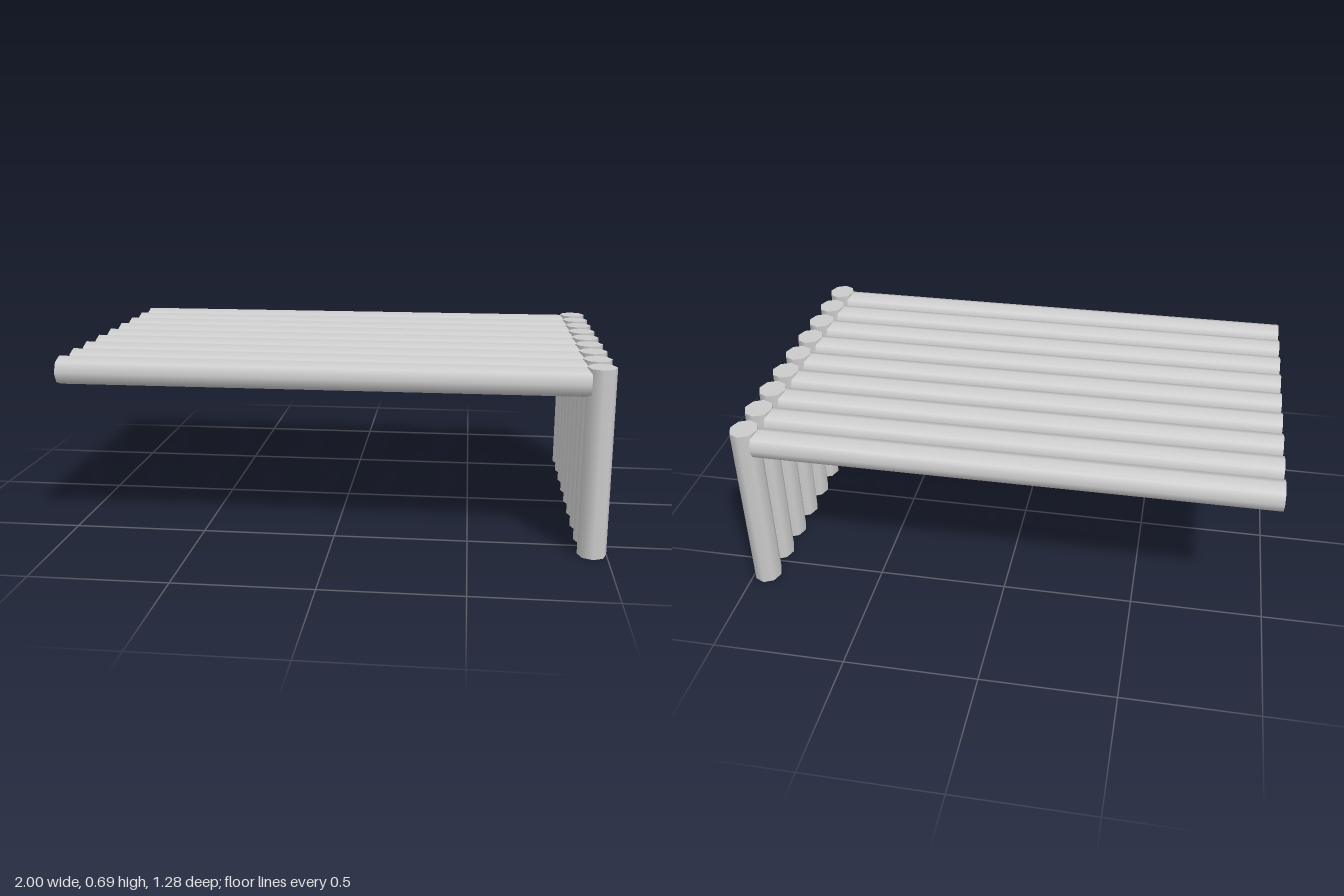
import * as THREE from 'three';

export function createModel() {
  const model = new THREE.Group();
  const material = new THREE.MeshStandardMaterial({ color: 0xcccccc });
  const count = 9, pitch = 0.1445;
  const rx = 0.0525, rz = 0.06;
  const postHeight = 0.69, rodStart = -1, rodEnd = 0.91;

  // Upright log, slightly wider along z than along x
  const postGeometry = new THREE.CylinderGeometry(1, 1, postHeight, 8);
  postGeometry.scale(rx, 1, rz);

  // Horizontal log running along x
  const rodGeometry = new THREE.CylinderGeometry(1, 1, rodEnd - rodStart, 8);
  rodGeometry.rotateZ(Math.PI / 2);
  rodGeometry.scale(1, rx, rz + 0.001);

  const wall = new THREE.Group();
  wall.name = 'postWall';
  const deck = new THREE.Group();
  deck.name = 'logDeck';

  // One post and one deck log per row
  for (let i = 0; i < count; i++) {
    const z = (i - (count - 1) / 2) * pitch;

    const post = new THREE.Mesh(postGeometry, material);
    post.name = 'post';
    post.position.set(1 - rx, postHeight / 2, z);
    wall.add(post);

    const rod = new THREE.Mesh(rodGeometry, material);
    rod.name = 'deckLog';
    rod.position.set((rodStart + rodEnd) / 2, postHeight - 0.002 - rx, z);
    deck.add(rod);
  }

  model.add(wall, deck);
  return model;
}
